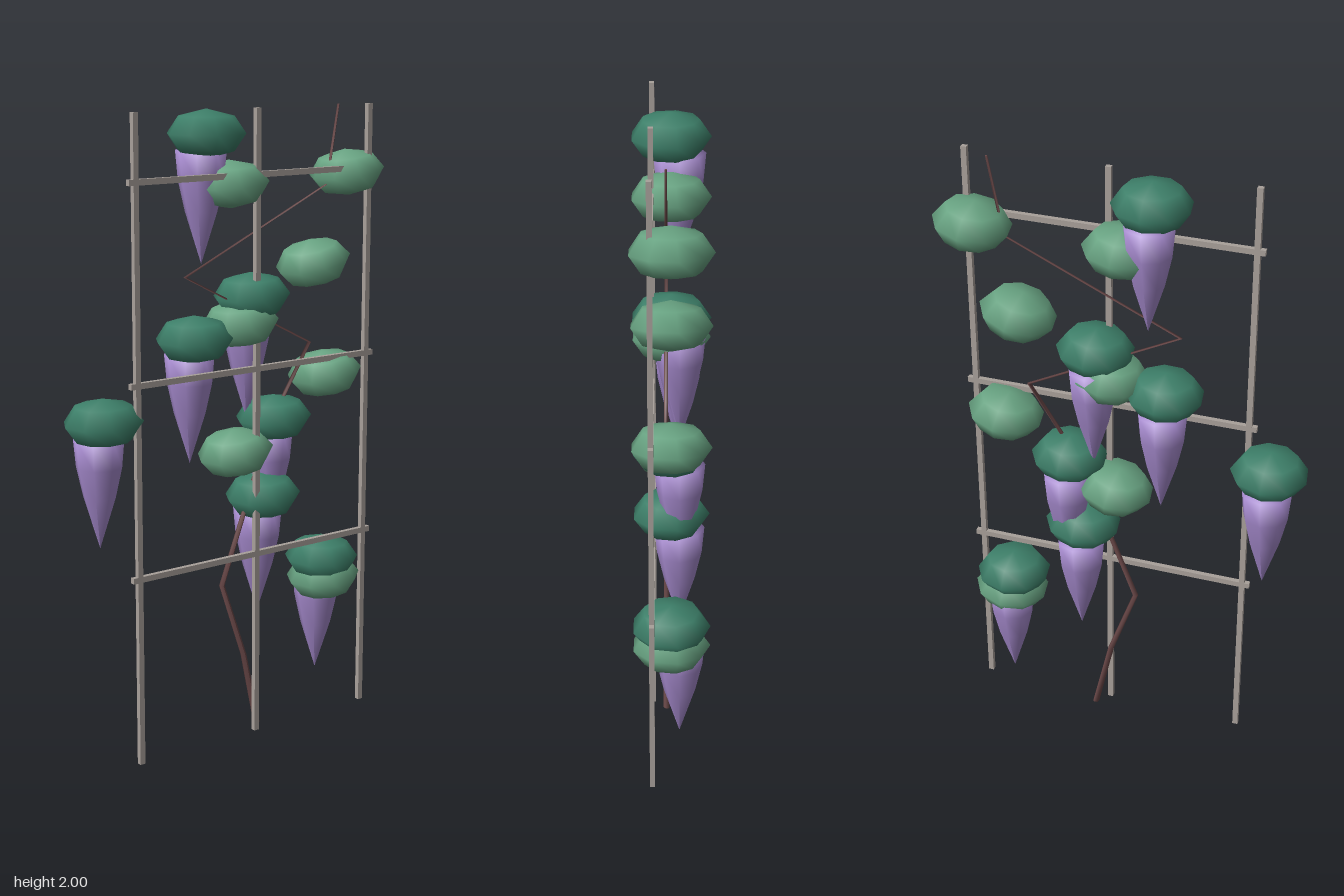
import * as THREE from 'three';

const mat = (name, color, side = THREE.FrontSide) => {
  const m = new THREE.MeshStandardMaterial({ color, side });
  m.name = name;
  return m;
};

export function createModel() {
  const group = new THREE.Group();
  const darkGreen = mat('darkLeafGreen', 0x3d7f69);
  const lightGreen = mat('lightLeafGreen', 0x68a382);
  const lilac = mat('blossomLilac', 0xa88cd0, THREE.DoubleSide);
  const wood = mat('trellisWood', 0xa8a09a);
  const bark = mat('vineBark', 0x6a4848);

  const add = (name, geometry, material, x, y, z, tilt = 0) => {
    const mesh = new THREE.Mesh(geometry, material);
    mesh.name = name;
    mesh.position.set(x, y, z);
    mesh.rotation.z = tilt;
    group.add(mesh);
  };

  // Trellis: three posts and three rails
  const post = new THREE.BoxGeometry(0.018, 2, 0.016);
  const rail = new THREE.BoxGeometry(0.95, 0.018, 0.016);
  for (const x of [-0.39, 0.06, 0.508]) add('trellisPost', post, wood, x, 1, 0.055);
  for (const y of [0.6, 1.2, 1.8]) add('trellisRail', rail, wood, 0.06, y, 0.055);

  // Vine: tapered stem whose rings are shifted sideways into a zigzag
  const bends = [0.1, 0.045, -0.042, 0.055, 0.15, 0.31, -0.18, 0.375, 0.42];
  const stem = new THREE.CylinderGeometry(0.004, 0.011, 2, 5, 8);
  const p = stem.attributes.position;
  for (let i = 0; i < p.count; i++) {
    p.setX(i, p.getX(i) + bends[Math.round((p.getY(i) + 1) * 4)]);
  }
  stem.computeVertexNormals();
  add('vineStem', stem, bark, 0, 1, 0.01);

  // Flattened low-poly leaf clump
  const clump = new THREE.SphereGeometry(0.122, 9, 4);
  clump.rotateY(-Math.PI / 2);
  clump.scale(1, 0.61, 1);

  // Hanging blossom: tapering cluster ending in a point
  const profile = [[0, -0.395], [0.05, -0.235], [0.071, -0.14], [0.079, -0.05], [0, -0.03]];
  const blossom = new THREE.LatheGeometry(profile.map(([r, y]) => new THREE.Vector2(r, y)), 8);

  // Dark clumps, each with a blossom beneath
  const clusters = [
    [-0.09, 1.925, 0], [-0.474, 1.09, 0.03], [-0.137, 1.305, 0.03], [0.085, 1.42, 0.06],
    [0.175, 1.02, 0.05], [0.132, 0.77, 0.06], [0.382, 0.515, 0],
  ];
  for (const [x, y, tilt] of clusters) {
    add('blossomLeaves', clump, darkGreen, x, y, -0.003, tilt);
    add('blossom', blossom, lilac, x, y, -0.03);
  }

  // Light clumps, slightly tilted
  const leaves = [
    [0, 1.77, 0.08], [0.47, 1.783, 0.15], [0.333, 1.504, 0.25], [0.386, 1.14, 0.18],
    [0.021, 0.928, 0.17], [0.04, 1.337, 0.12], [0.39, 0.45, 0.1],
  ];
  for (const [x, y, tilt] of leaves) add('leafClump', clump, lightGreen, x, y, -0.003, tilt);

  return group;
}
